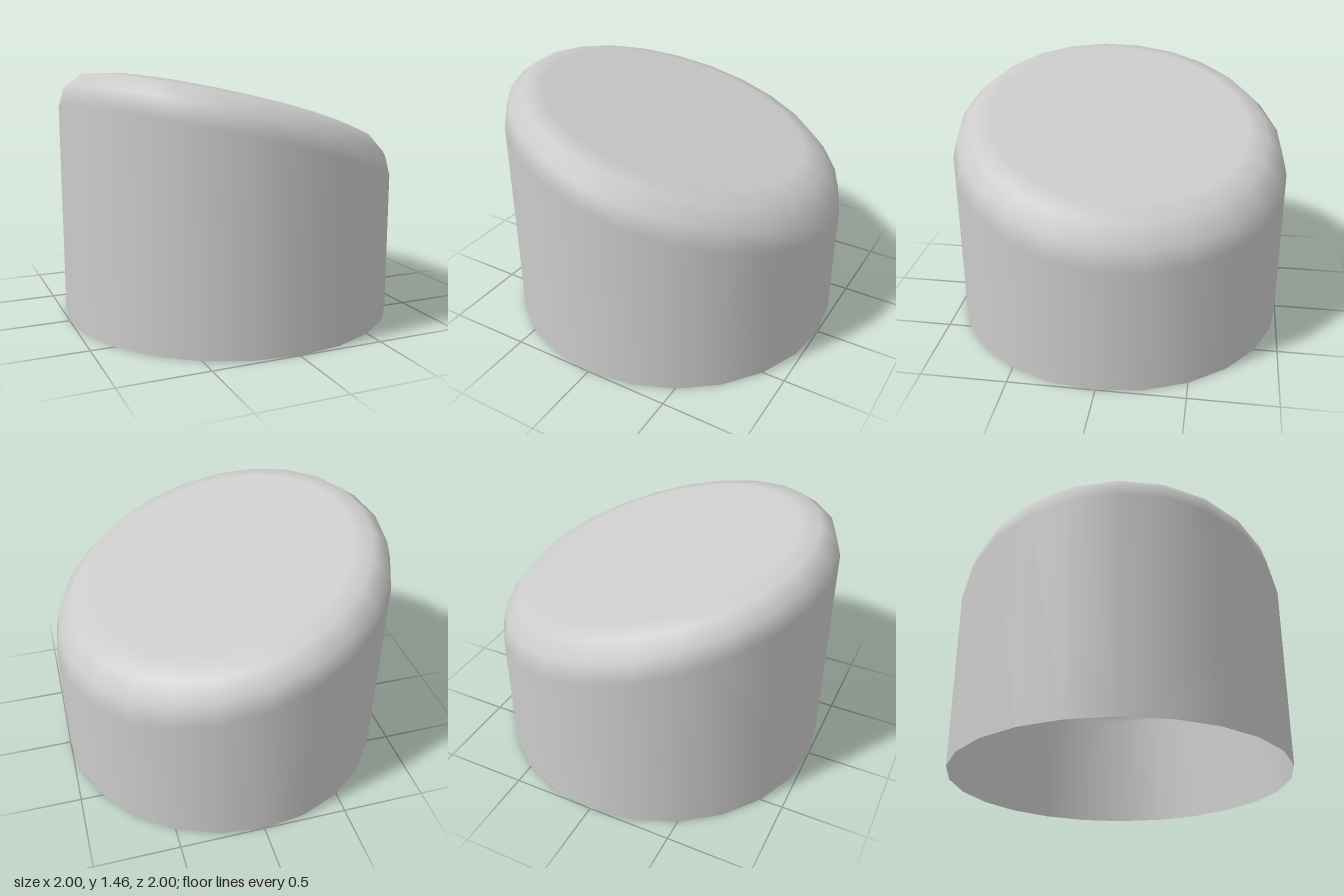
import * as THREE from 'three';

const SIDES = 24;
const SLOPE_X = -0.265, SLOPE_Z = 0.09; // tilt of the top
const WALL = 1.01;                      // wall height on the axis
const ROUND = 0.232;                    // radius of the rounded rim
const STEPS = 3;

export function createModel() {
  const group = new THREE.Group();

  // Profile: wall, quarter-round rim, flat top; each point keeps its normal angle
  const points = [new THREE.Vector2(1, 0)];
  const angles = [0];
  for (let i = 0; i <= STEPS; i++) {
    const a = (i / STEPS) * Math.PI / 2;
    points.push(new THREE.Vector2(1 - ROUND * (1 - Math.cos(a)), WALL + ROUND * Math.sin(a)));
    angles.push(a);
  }
  points.push(new THREE.Vector2(0, WALL + ROUND));
  angles.push(Math.PI / 2);

  // Tilt everything above the base and tilt the normals to match
  const geometry = new THREE.LatheGeometry(points, SIDES);
  const { position, normal } = geometry.attributes;
  const n = new THREE.Vector3();
  for (let i = 0; i < position.count; i++) {
    const j = i % points.length;
    const phi = Math.floor(i / points.length) / SIDES * Math.PI * 2;
    const out = Math.cos(angles[j]), up = Math.sin(angles[j]);
    n.set(out * Math.sin(phi) - SLOPE_X * up, up, out * Math.cos(phi) - SLOPE_Z * up).normalize();
    normal.setXYZ(i, n.x, n.y, n.z);
    if (j > 0) {
      position.setY(i, position.getY(i) + SLOPE_X * position.getX(i) + SLOPE_Z * position.getZ(i));
    }
  }

  // Hollow cap, open underneath
  const shell = new THREE.Mesh(geometry,
    new THREE.MeshStandardMaterial({ color: 0xcccccc, side: THREE.DoubleSide }));
  shell.name = 'slantedCap';
  group.add(shell);
  return group;
}
